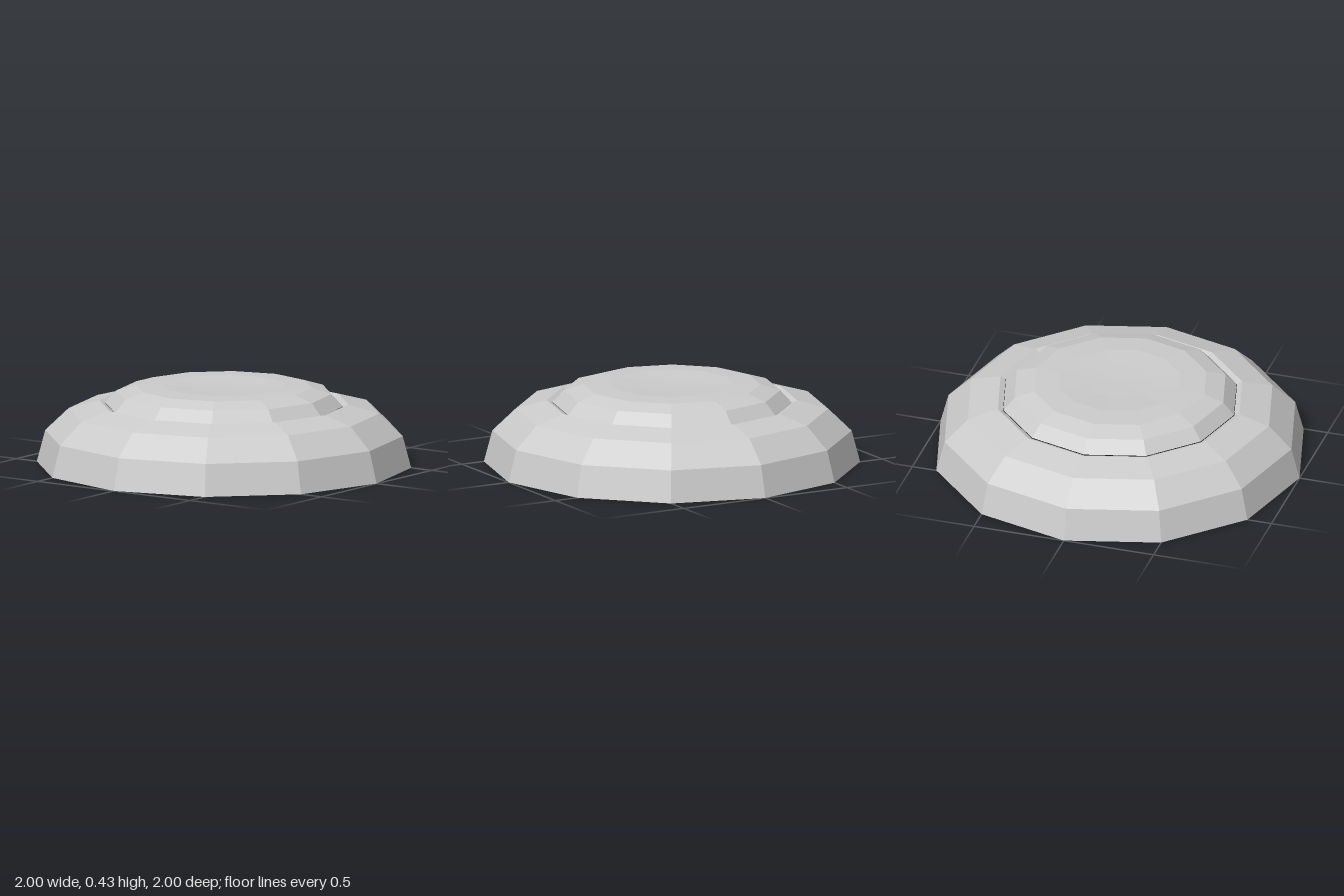
import * as THREE from 'three';

const SIDES = 12;

export function createModel() {
  const model = new THREE.Group();
  const material = new THREE.MeshStandardMaterial({
    color: 0xcccccc, flatShading: true, side: THREE.DoubleSide,
  });

  // Twelve-sided thin shell turned from [radius, height] pairs
  const addShell = (name, profile) => {
    const points = profile.map(([r, y]) => new THREE.Vector2(r, y));
    const mesh = new THREE.Mesh(new THREE.LatheGeometry(points, SIDES), material);
    mesh.name = name;
    model.add(mesh);
  };

  // Wide outer skirt, open below, its lip dipping into a shallow groove
  addShell('outerSkirt', [
    [1, 0], [0.955, 0.17], [0.83, 0.29], [0.665, 0.335], [0.637, 0.322],
  ]);

  // Raised cap: inner flange underneath, bevelled shoulder, slightly dished top
  addShell('raisedCap', [
    [0.5, 0.29], [0.635, 0.325], [0.575, 0.39], [0.47, 0.422],
    [0.33, 0.427], [0.17, 0.418], [0, 0.414],
  ]);

  return model;
}
